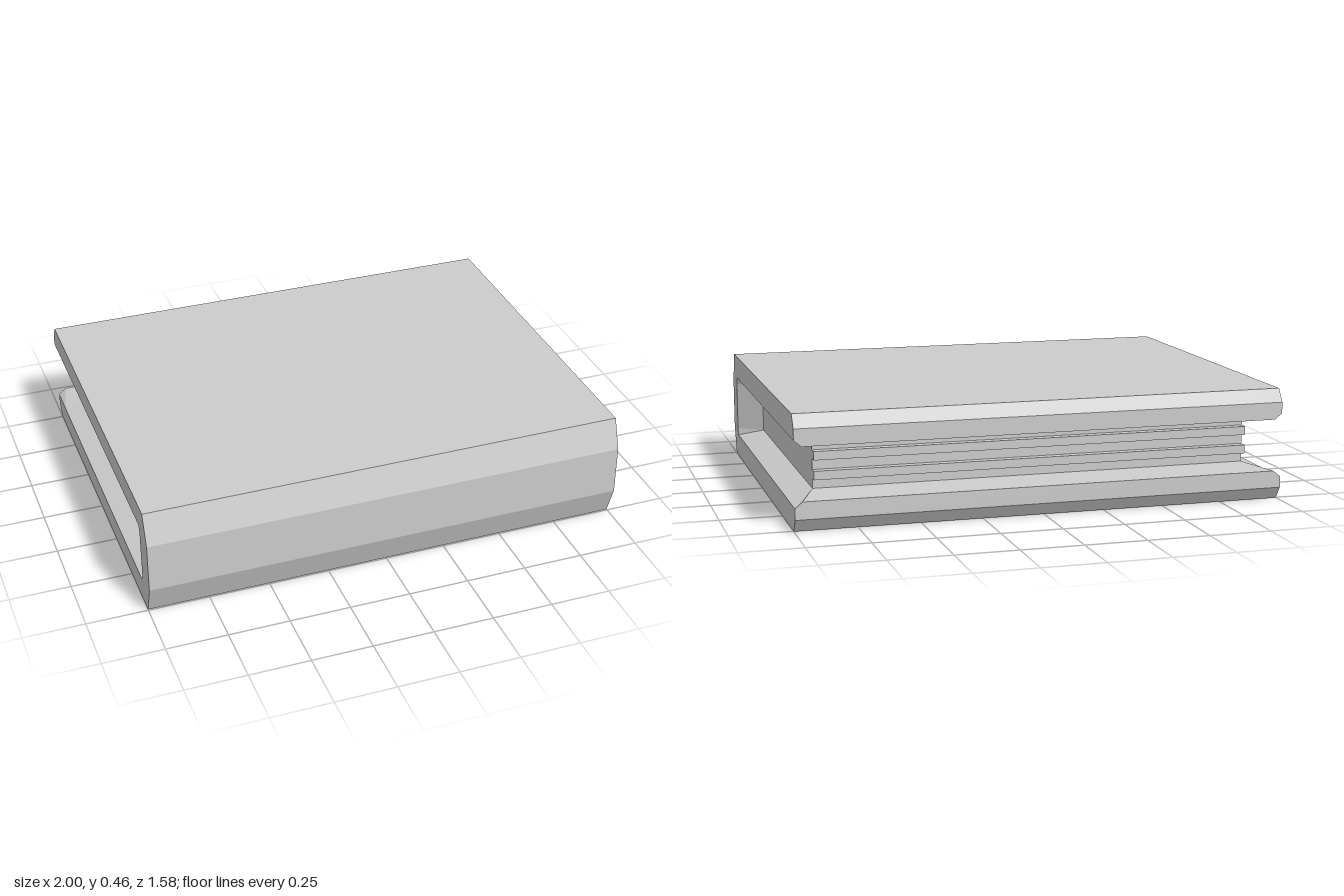
import * as THREE from 'three';

const H = 0.457; // thickness of the closed book
const mirrorY = (pts) => [...pts, ...pts.map(([z, y, x]) => [z, H - y, x]).reverse()];

// Upper half of the C-shaped cover profile as [z, y, x]; the lower half is mirrored.
const outer = [[0.79, 0.332], [0.745, H], [-0.755, H], [-0.79, 0.405]];
const endLoop = mirrorY([...outer, [-0.79, 0.36], [-0.655, 0.36], [0.675, 0.36], [0.685, 0.33]]
  .map(([z, y]) => [z, y, 1]));
const innerLoop = mirrorY([
  ...outer.map(([z, y]) => [z, y, 0.9]),
  [-0.79, 0.335, 0.97], [-0.62, 0.325, 0.9], [0.58, 0.325, 0.9], [0.58, 0.325, 0.9],
]);

function coverGeometry() {
  const at = (loop, side) => loop.map(([z, y, x]) => [x * side, y, z]);
  const sections = [at(endLoop, -1), at(innerLoop, -1), at(innerLoop, 1), at(endLoop, 1)];
  const pos = [];
  const tri = (a, b, c) => pos.push(...a, ...b, ...c);

  // Walls between neighbouring sections; the part behind the pages is left out
  for (let s = 0; s < 3; s++) {
    const p = sections[s], q = sections[s + 1], n = p.length;
    for (let i = 0; i < n; i++) {
      if (s === 1 && i >= 5 && i <= 9) continue;
      const j = (i + 1) % n;
      tri(p[i], q[i], q[j]);
      tri(p[i], q[j], p[j]);
    }
  }

  // Flat C-shaped ends
  const flat = endLoop.map(([z, y]) => new THREE.Vector2(z, y));
  for (const [a, b, c] of THREE.ShapeUtils.triangulateShape(flat, [])) {
    tri(sections[0][a], sections[0][b], sections[0][c]);
    tri(sections[3][a], sections[3][c], sections[3][b]);
  }

  const g = new THREE.BufferGeometry();
  g.setAttribute('position', new THREE.Float32BufferAttribute(pos, 3));
  g.computeVertexNormals();
  return g;
}

// Page block with two ridges along the fore edge
function pagesGeometry() {
  const back = 0.62, ridge = 0.655;
  const half = [
    [-0.58, 0.325], [back, 0.325], [back, 0.285], [ridge, 0.285], [ridge, 0.25], [back, 0.25],
  ];
  const shape = new THREE.Shape(mirrorY(half).map(([x, y]) => new THREE.Vector2(x, y)));
  const g = new THREE.ExtrudeGeometry(shape, { depth: 1.8, bevelEnabled: false });
  g.translate(0, 0, -0.9);
  g.rotateY(Math.PI / 2);
  return g;
}

export function createModel() {
  const group = new THREE.Group();
  group.name = 'book';
  const material = new THREE.MeshStandardMaterial({ color: 0xcccccc, flatShading: true });
  const add = (name, geometry) => {
    const mesh = new THREE.Mesh(geometry, material);
    mesh.name = name;
    group.add(mesh);
  };
  add('cover', coverGeometry());
  add('pages', pagesGeometry());
  return group;
}
